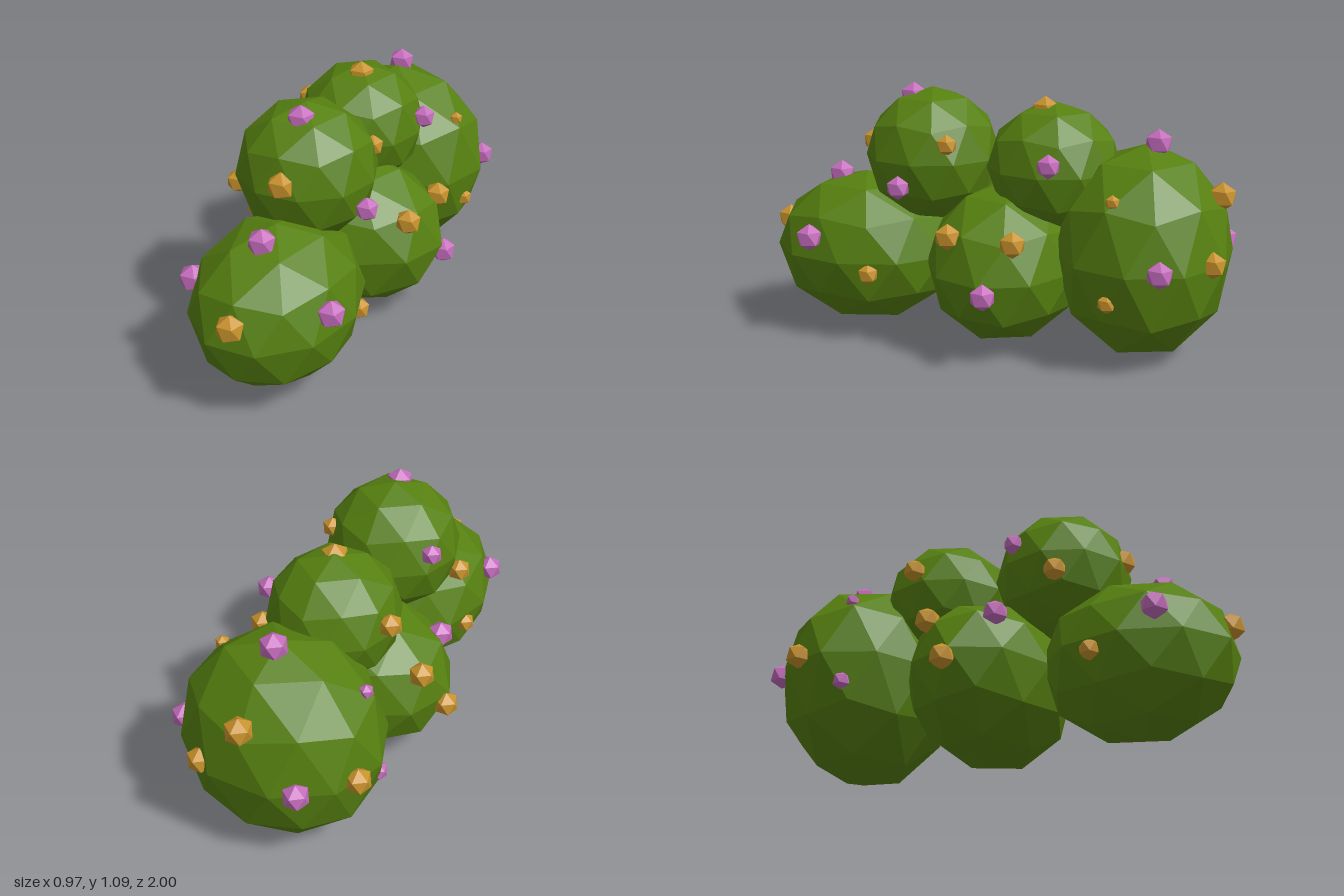
import * as THREE from 'three';

const material = (color) => new THREE.MeshStandardMaterial({ color, flatShading: true });

// Icosphere standing on a corner, with a lower-ring corner facing the front
function icosphere(detail) {
  const geometry = new THREE.IcosahedronGeometry(1, detail);
  geometry.rotateX(-Math.atan((1 + Math.sqrt(5)) / 2));
  geometry.rotateY(Math.PI);
  return geometry;
}

export function createModel() {
  const group = new THREE.Group();
  const lobeGeometry = icosphere(1);
  const budGeometry = icosphere(0);
  const green = material(0x568010);
  const orange = material(0xc8922c);
  const purple = material(0xc46cbc);

  function add(name, geometry, mat, position, radii) {
    const mesh = new THREE.Mesh(geometry, mat);
    mesh.name = name;
    mesh.position.set(...position);
    mesh.scale.set(...radii);
    group.add(mesh);
  }

  // Leafy lobes: centre, radii
  const lobes = [
    ['frontLobe', [0, 0.37, 0.575], [0.33, 0.33, 0.405]],
    ['middleLobe', [0, 0.36, -0.065], [0.445, 0.34, 0.33]],
    ['backLobe', [0, 0.445, -0.64], [0.42, 0.44, 0.363]],
    ['upperFrontLobe', [-0.015, 0.79, 0.27], [0.285, 0.285, 0.285]],
    ['upperBackLobe', [-0.015, 0.765, -0.255], [0.27, 0.27, 0.278]],
  ];
  for (const [name, position, radii] of lobes) add(name, lobeGeometry, green, position, radii);

  const bud = (mat, x, y, z, r = 0.058) =>
    add(mat === orange ? 'orangeBud' : 'purpleBud', budGeometry, mat, [x, y, z], [r, r, r]);

  // Buds along the centre line
  bud(purple, 0, 0.68, 0.69);
  bud(orange, 0, 0.462, 0.948);
  bud(purple, 0, 1.035, 0.35);
  bud(orange, 0, 0.835, 0.525);
  bud(orange, 0, 1.0, -0.22);
  bud(purple, 0, 0.89, -0.685);
  bud(orange, 0, 0.69, -0.945);

  // Side buds: left colour, left x, right colour, right x, y, z, radius
  const pairs = [
    [purple, 0.292, purple, -0.292, 0.463, 0.715, 0.058],
    [orange, 0.29, orange, -0.29, 0.325, 0.455, 0.045],
    [orange, 0.345, purple, -0.328, 0.53, 0.085, 0.055],
    [orange, 0.37, orange, -0.37, 0.527, -0.19, 0.055],
    [purple, 0.44, orange, -0.44, 0.325, -0.09, 0.055],
    [orange, 0.205, purple, -0.25, 0.87, 0.135, 0.045],
    [purple, 0.263, orange, -0.298, 0.695, 0.325, 0.05],
    [purple, 0.255, orange, -0.28, 0.82, -0.3, 0.05],
    [orange, 0.312, purple, -0.315, 0.71, -0.567, 0.03],
    [orange, 0.367, purple, -0.367, 0.325, -0.565, 0.04],
    [purple, 0.38, orange, -0.385, 0.46, -0.765, 0.055],
    [orange, 0.19, purple, -0.222, 0.46, -0.94, 0.055],
  ];
  for (const [left, xl, right, xr, y, z, r] of pairs) {
    bud(left, xl, y, z, r);
    bud(right, xr, y, z, r);
  }
  return group;
}
